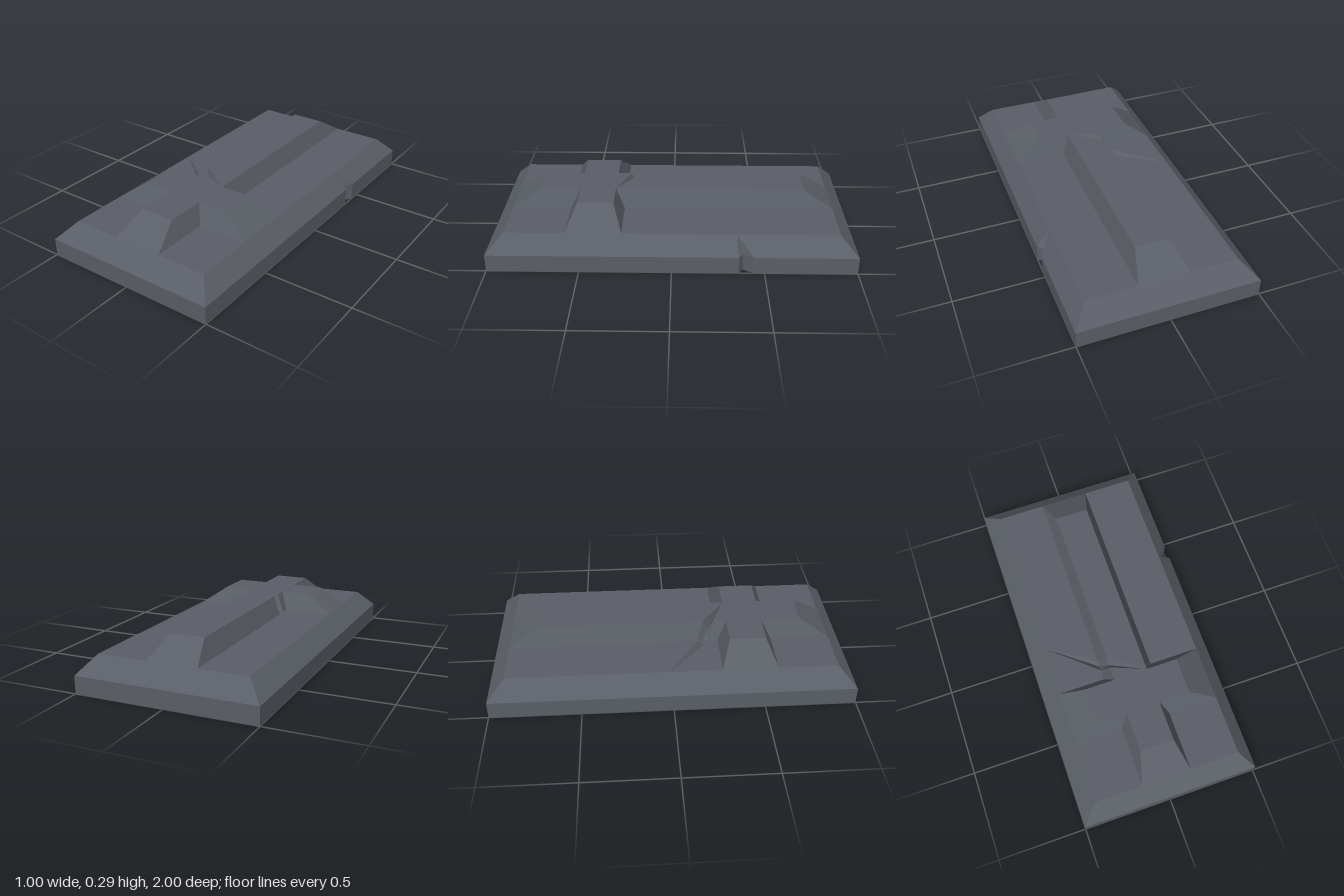
import * as THREE from 'three';

const BASE = 0.097, LEDGE = 0.193, TOP = 0.295;

// Builds a flat-faced mesh from convex polygons, each turned outward and upward
function facetMesh(name, polygons, material) {
  const positions = [];
  for (const polygon of polygons) {
    const p = polygon.map((c) => new THREE.Vector3(...c));
    for (let i = 1; i < p.length - 1; i++) {
      const tri = [p[0], p[i], p[i + 1]];
      const normal = new THREE.Triangle(...tri).getNormal(new THREE.Vector3());
      const middle = p[0].clone().add(p[i]).add(p[i + 1]).divideScalar(3);
      middle.y = polygon.underside ? -3 : 3;
      if (normal.dot(middle) < 0) tri.reverse();
      tri.forEach((v) => positions.push(v.x, v.y, v.z));
    }
  }
  const geometry = new THREE.BufferGeometry();
  geometry.setAttribute('position', new THREE.Float32BufferAttribute(positions, 3));
  geometry.computeVertexNormals();
  const mesh = new THREE.Mesh(geometry, material);
  mesh.name = name;
  return mesh;
}

const at = (y) => (x, z) => [x, y, z];
const floor = at(0), mid = at(BASE), ledge = at(LEDGE), top = at(TOP);
const rect = (level, x0, z0, x1, z1) => [level(x0, z0), level(x1, z0), level(x1, z1), level(x0, z1)];

export function createModel() {
  const stone = new THREE.MeshStandardMaterial({ color: 0x5a5e66 });
  stone.name = 'slate stone';
  const group = new THREE.Group();
  group.name = 'graveSlab';

  // Slab plan, with a chip in the left edge
  const outline = [[-0.5, -1], [-0.5, 1], [0.5, 1], [0.5, -0.36], [0.465, -0.385], [0.5, -0.44], [0.5, -1]];
  const slab = outline.map((a, i) => {
    const b = outline[(i + 1) % outline.length];
    return [floor(...a), floor(...b), mid(...b), mid(...a)];
  });
  for (const part of [
    rect(floor, -0.5, -1, 0.465, 1),
    [floor(0.465, 1), floor(0.5, 1), floor(0.5, -0.36), floor(0.465, -0.385)],
    [floor(0.465, -1), floor(0.5, -1), floor(0.5, -0.44), floor(0.465, -0.385)],
  ]) {
    part.underside = true;
    slab.push(part);
  }

  // Bevels, with the chip tapering to a point at the ledge
  const XL = -0.41, XR = 0.42, Z = 0.905;
  const chipTop = ledge(XR, -0.35);
  slab.push(
    [mid(-0.5, -1), mid(-0.5, 1), ledge(XL, Z), ledge(XL, -Z)],
    [mid(-0.5, 1), mid(0.5, 1), ledge(XR, Z), ledge(XL, Z)],
    [mid(-0.5, -1), mid(0.5, -1), ledge(XR, -Z), ledge(XL, -Z)],
    [ledge(XR, Z), chipTop, mid(0.5, -0.36), mid(0.5, 1)],
    [chipTop, ledge(XR, -Z), mid(0.5, -1), mid(0.5, -0.44)],
    [chipTop, mid(0.5, -0.36), mid(0.465, -0.385)],
    [chipTop, mid(0.465, -0.385), mid(0.5, -0.44)],
  );

  // Crack corners: start, both rims and bottom at the ridge foot and edge, end
  const start = ledge(XL, -0.02), end = top(0.095, 0.32);
  const rimA1 = ledge(-0.14, 0.155), rimB1 = ledge(-0.14, 0.215), deep1 = [-0.14, 0.165, 0.18];
  const rimA2 = top(-0.095, 0.185), rimB2 = top(-0.095, 0.245), deep2 = [-0.095, 0.245, 0.215];

  // Four sunk panels around the cross
  slab.push(
    rect(ledge, 0.14, -Z, XR, 0.27),
    rect(ledge, 0.14, 0.575, XR, Z),
    rect(ledge, XL, 0.575, -0.14, Z),
    [ledge(XL, -Z), ledge(-0.14, -Z), rimA1, start],
    [start, rimB1, ledge(-0.14, 0.27), ledge(XL, 0.27)],
  );

  // Raised cross: flat top
  const cross = [
    [top(-0.095, -0.74), top(0.095, -0.74), end, rimA2],
    [rimB2, end, top(-0.095, 0.32)],
    rect(top, -0.27, 0.32, 0.27, 0.52),
    rect(top, -0.095, 0.52, 0.095, 0.74),
  ];
  // Sloped flanks, following matching rings at the top and foot
  const topRing = [[-0.095, 0.32], [-0.27, 0.32], [-0.27, 0.52], [-0.095, 0.52], [-0.095, 0.74], [0.095, 0.74],
    [0.095, 0.52], [0.27, 0.52], [0.27, 0.32], [0.095, 0.32], [0.095, -0.74], [-0.095, -0.74]];
  const footRing = [[-0.14, 0.27], [XL, 0.27], [XL, 0.575], [-0.14, 0.575], [-0.14, Z], [0.14, Z],
    [0.14, 0.575], [XR, 0.575], [XR, 0.27], [0.14, 0.27], [0.14, -Z], [-0.14, -Z]];
  for (let i = 0; i < 11; i++) {
    cross.push([ledge(...footRing[i]), ledge(...footRing[i + 1]), top(...topRing[i + 1]), top(...topRing[i])]);
  }
  // The last flank is split by the crack
  cross.push(
    [ledge(-0.14, -Z), top(-0.095, -0.74), rimA2, rimA1],
    [rimB1, rimB2, top(-0.095, 0.32), ledge(-0.14, 0.27)],
  );

  // V-shaped crack running over the panel and ridge
  const crack = [];
  for (const [r1, r2] of [[rimA1, rimA2], [rimB1, rimB2]]) {
    crack.push([start, r1, deep1], [r1, r2, deep2, deep1], [r2, end, deep2]);
  }

  group.add(
    facetMesh('slab', slab, stone),
    facetMesh('raisedCross', cross, stone),
    facetMesh('crack', crack, stone),
  );
  return group;
}
